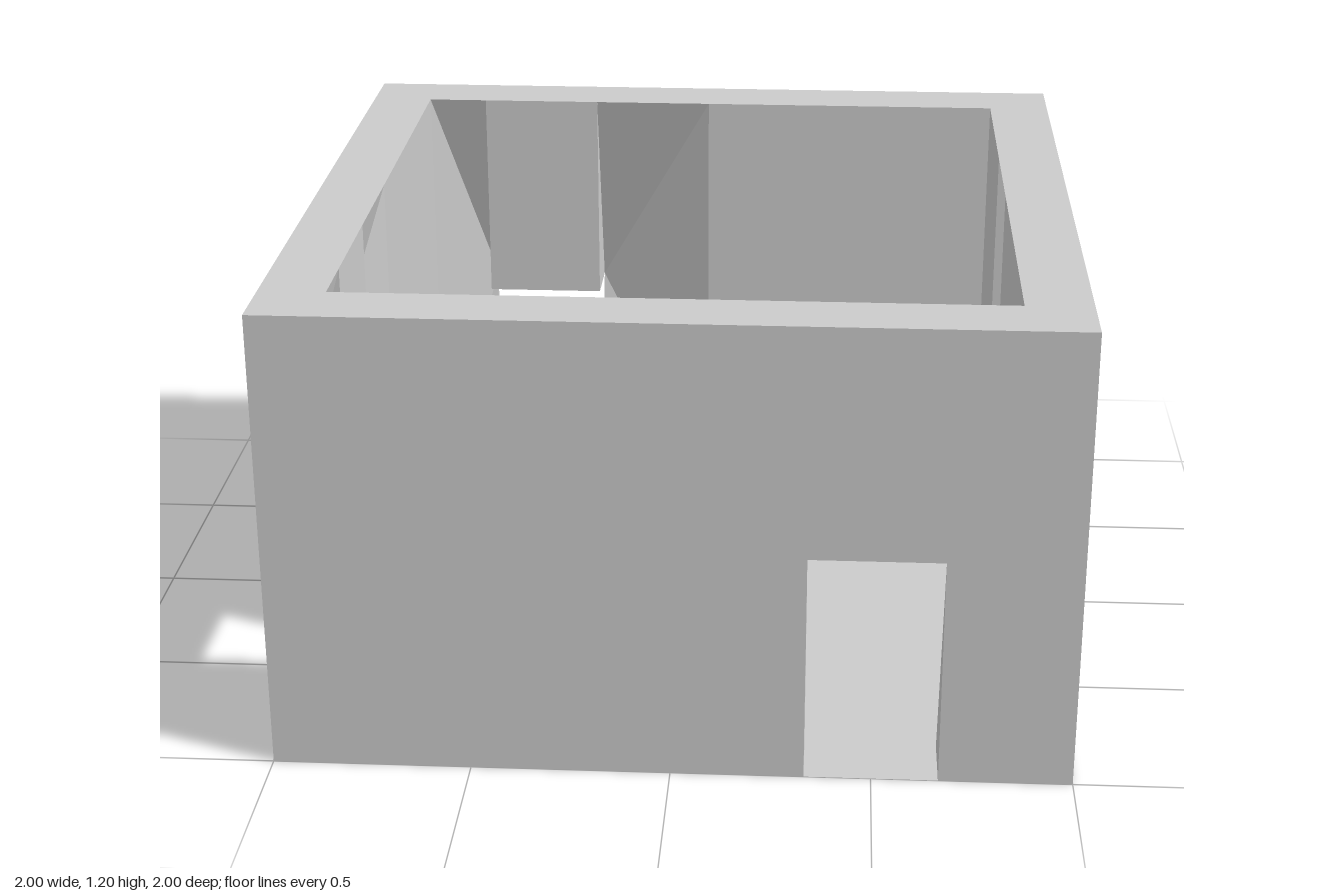
import * as THREE from 'three';

const OUT = 1, IN = 0.833, H = 1.2;             // outer and inner half widths, wall height
const D0 = 0.333, D1 = 0.667, DOOR = 0.6;       // doorway sides and height

const material = new THREE.MeshStandardMaterial({ color: 0xcccccc, flatShading: true });
const floorMaterial = new THREE.MeshStandardMaterial({ color: 0xcccccc, side: THREE.DoubleSide });

// Mesh made of polygons, each one split as a fan from its first corner
function polygons(name, faces) {
  const pos = [];
  for (const f of faces) {
    for (let i = 1; i < f.length - 1; i++) pos.push(...f[0], ...f[i], ...f[i + 1]);
  }
  const g = new THREE.BufferGeometry();
  g.setAttribute('position', new THREE.Float32BufferAttribute(pos, 3));
  g.computeVertexNormals();
  const mesh = new THREE.Mesh(g, material);
  mesh.name = name;
  return mesh;
}

// Doorway side at x = d, with the inner wall bent outwards to the lintel corner,
// running on to x = e
function doorSide(name, d, e) {
  const top = [d, H, IN], mid = [d, DOOR, OUT], foot = [d, 0, IN];
  const faces = [
    [mid, top, [e, H, IN], [e, 0, IN], foot],   // bent inner wall
    [mid, foot, [d, 0, OUT]],                   // jamb
    [top, mid, [d, DOOR, IN]],                  // lintel end
  ];
  if (e < d) faces.forEach((f) => f.reverse());
  // keep the fan of the bent wall starting at its lintel corner
  if (e < d) faces[0].unshift(faces[0].pop());
  return polygons(name, faces);
}

function createWall() {
  const wall = new THREE.Group();

  // Outer face with the doorway notch
  const outline = [[-OUT, 0], [D0, 0], [D0, DOOR], [D1, DOOR], [D1, 0], [OUT, 0], [OUT, H], [-OUT, H]];
  const shape = new THREE.Shape(outline.map(([x, y]) => new THREE.Vector2(x, y)));
  const outer = new THREE.Mesh(new THREE.ShapeGeometry(shape), material);
  outer.name = 'outerWall';
  outer.position.z = OUT;
  wall.add(outer);

  wall.add(
    polygons('wallTop', [[[-OUT, H, OUT], [OUT, H, OUT], [IN, H, IN], [-IN, H, IN]]]),
    polygons('innerWall', [[[-IN, H, IN], [0, H, IN], [0, 0, IN], [-IN, 0, IN]]]),
    polygons('lintel', [
      [[D0, H, IN], [D1, H, IN], [D1, DOOR, IN], [D0, DOOR, IN]],
      [[D0, DOOR, IN], [D1, DOOR, IN], [D1, DOOR, OUT], [D0, DOOR, OUT]],
    ]),
    doorSide('doorSideNearMiddle', D0, 0),
    doorSide('doorSideNearCorner', D1, IN),
  );
  return wall;
}

export function createModel() {
  const model = new THREE.Group();
  model.name = 'roofless room';

  // Four equal walls, each turned a quarter further
  ['frontWall', 'leftWall', 'backWall', 'rightWall'].forEach((name, i) => {
    const wall = createWall();
    wall.name = name;
    wall.rotation.y = (i * Math.PI) / 2;
    model.add(wall);
  });

  // Thin floor
  const floor = new THREE.Mesh(new THREE.PlaneGeometry(2 * OUT, 2 * OUT), floorMaterial);
  floor.name = 'floor';
  floor.rotation.x = -Math.PI / 2;
  model.add(floor);

  return model;
}
